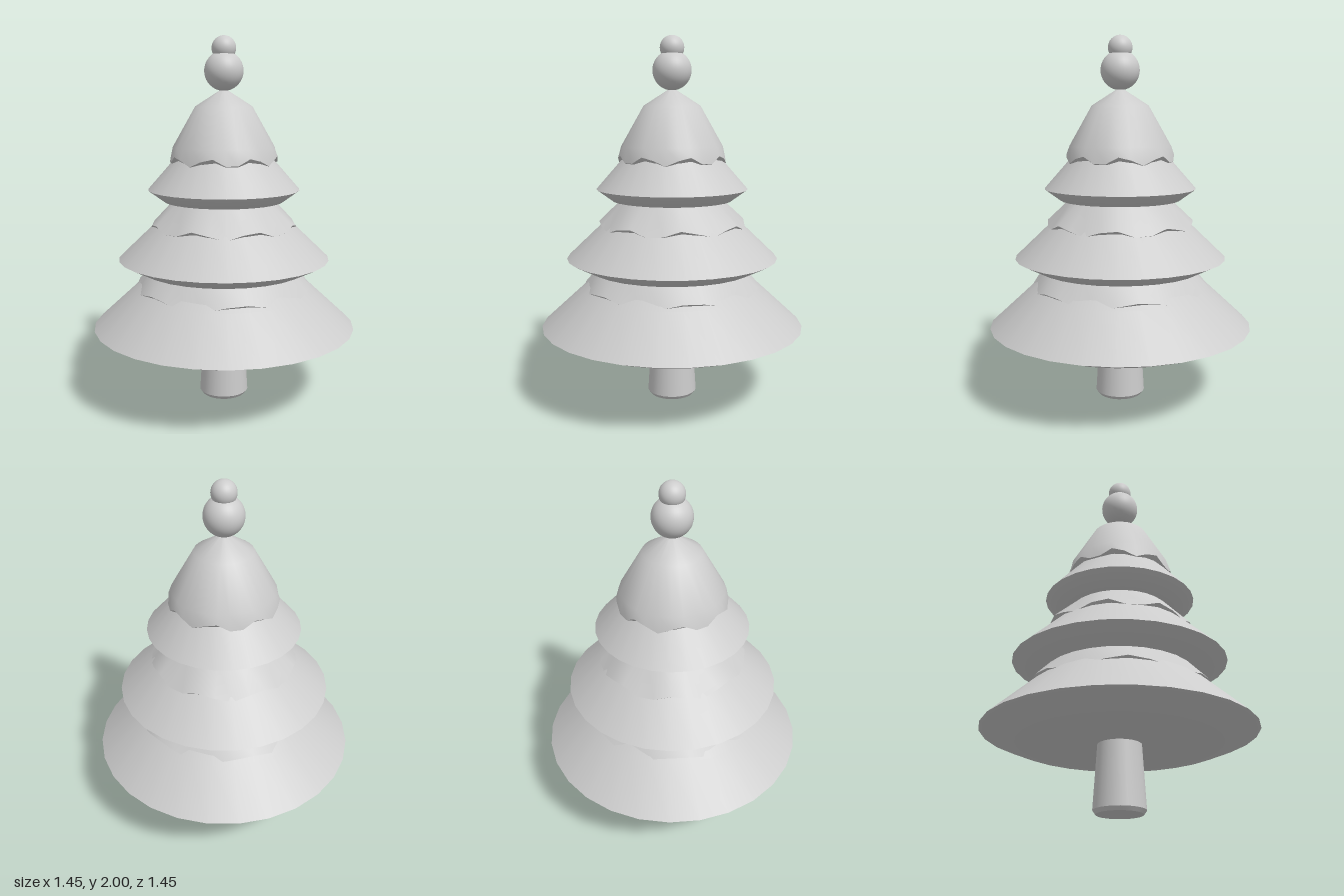
import * as THREE from 'three';
import { toCreasedNormals } from 'three/addons/utils/BufferGeometryUtils.js';

const SIDES = 28;

// Solid of revolution from [radius, height] pairs, bottom to top
function lathe(profile, sides = SIDES) {
  return new THREE.LatheGeometry(profile.map(([r, y]) => new THREE.Vector2(r, y)), sides);
}

// Snow cap whose rim rises and falls in scallops around the tree
function scallopedCap({ rim, y, wave, lobes, phase, upper }) {
  const geo = lathe([[rim - 0.08, y - 0.055], [rim, y], ...upper]);
  const pos = geo.attributes.position;
  const rows = upper.length + 2;
  for (let i = 0; i < pos.count; i++) {
    if (i % rows !== 1) continue;
    const angle = THREE.MathUtils.degToRad(Math.floor(i / rows) * 360 / SIDES - phase);
    pos.setY(i, y + wave * Math.cos(lobes * angle));
  }
  return toCreasedNormals(geo, 0.9);
}

export function createModel() {
  const tree = new THREE.Group();
  tree.name = 'tree';
  const grey = new THREE.MeshStandardMaterial({ color: 0xcccccc });
  grey.name = 'plain grey';

  const add = (name, geo, parent = tree) => {
    const mesh = new THREE.Mesh(geo, grey);
    mesh.name = name;
    parent.add(mesh);
    return mesh;
  };

  // Tapered trunk with a small bevel at the foot
  add('trunk', toCreasedNormals(lathe(
    [[0, 0], [0.122, 0], [0.137, 0.02], [0.116, 0.36], [0.114, 0.42]], 24), 0.6));

  // Three tiers: bevelled skirt below, scalloped cap above
  const tiers = [
    {
      skirt: [[0, 0.355], [0.58, 0.355], [0.727, 0.415], [0.505, 0.62], [0.34, 0.77]],
      cap: { rim: 0.493, y: 0.633, wave: 0.02, lobes: 6, phase: 18, upper: [[0.41, 0.735], [0.36, 0.785]] },
    },
    {
      skirt: [[0, 0.735], [0.46, 0.735], [0.582, 0.797], [0.38, 0.99], [0.23, 1.13]],
      cap: { rim: 0.402, y: 0.984, wave: 0.02, lobes: 8, phase: 15, upper: [[0.275, 1.12], [0.235, 1.16]] },
    },
    {
      skirt: [[0, 1.115], [0.33, 1.115], [0.416, 1.178], [0.265, 1.35], [0.18, 1.45]],
      cap: {
        rim: 0.295, y: 1.343, wave: 0.023, lobes: 8, phase: 22.5,
        upper: [[0.278, 1.41], [0.155, 1.627], [0.025, 1.71], [0, 1.715]],
      },
    },
  ];
  tiers.forEach(({ skirt, cap }, i) => {
    const tier = new THREE.Group();
    tier.name = `tier${i + 1}`;
    add('skirt', toCreasedNormals(lathe(skirt), 0.7), tier);
    add('snowCap', scallopedCap(cap), tier);
    tree.add(tier);
  });

  // Two stacked balls on the tip
  add('largeBall', new THREE.SphereGeometry(0.106, 32, 20)).position.y = 1.815;
  add('smallBall', new THREE.SphereGeometry(0.066, 32, 20)).position.y = 1.934;

  return tree;
}
